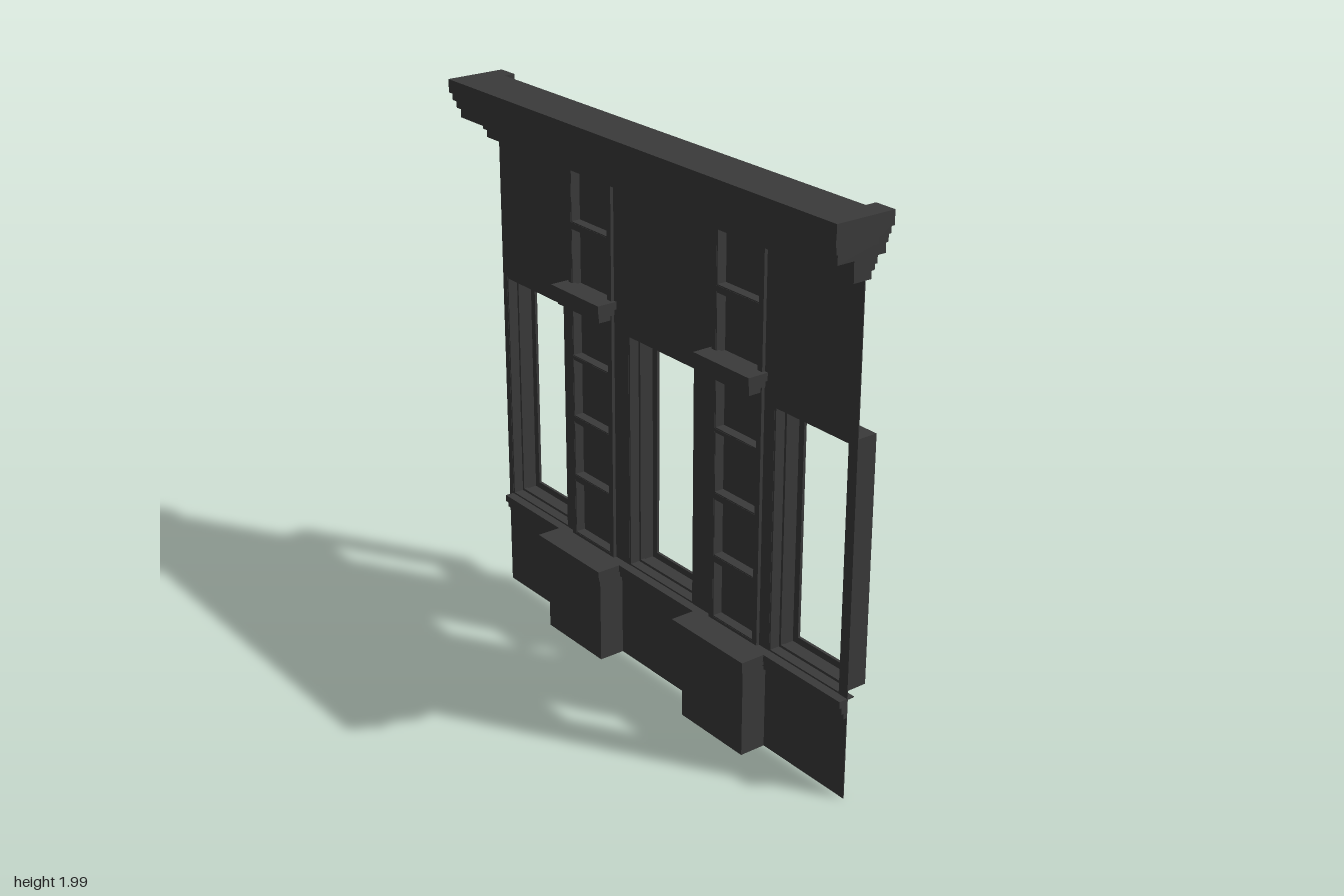
import * as THREE from 'three';

const mat = new THREE.MeshStandardMaterial({ color: 0x3a3a3a, flatShading: true, side: THREE.DoubleSide });
const WALL = 0.035; // x of the wall's rear face; the decorated side looks to -x

function add(parent, name, geometry) {
  const mesh = new THREE.Mesh(geometry, mat);
  mesh.name = name;
  parent.add(mesh);
  return mesh;
}

// Box given by its limits on each axis
function block(parent, name, [x0, x1], [y0, y1], [z0, z1]) {
  const g = new THREE.BoxGeometry(x1 - x0, y1 - y0, z1 - z0);
  g.translate((x0 + x1) / 2, (y0 + y1) / 2, (z0 + z1) / 2);
  return add(parent, name, g);
}

// Upright slab in the z/y plane, pierced by rectangles [z0, z1, y0, y1]
function slab(parent, name, [x0, x1], [z0, z1, y0, y1], holes = []) {
  const trace = (path, a, b, c, d) => path.moveTo(a, c).lineTo(b, c).lineTo(b, d).lineTo(a, d).closePath();
  const shape = trace(new THREE.Shape(), z0, z1, y0, y1);
  for (const h of holes) shape.holes.push(trace(new THREE.Path(), ...h));
  const g = new THREE.ExtrudeGeometry(shape, { depth: x1 - x0, bevelEnabled: false });
  g.rotateY(-Math.PI / 2);
  g.translate(x1, 0, 0);
  return add(parent, name, g);
}

// Run of an x/y profile along z
function run(parent, name, points, z0, z1) {
  const shape = new THREE.Shape(points.map(([x, y]) => new THREE.Vector2(x, y)));
  const g = new THREE.ExtrudeGeometry(shape, { depth: z1 - z0, bevelEnabled: false });
  g.translate(0, 0, z0);
  return add(parent, name, g);
}

const inset = ([z0, z1, y0, y1], d) => [z0 + d, z1 - d, y0 + d, y1 - d];

export function createModel() {
  const model = new THREE.Group();
  model.name = 'facadeSection';

  const windows = [[0.55, 0.895], [-0.21, 0.15], [-0.945, -0.585]].map(([a, b]) => [a, b, 0.37, 1.24]);
  const sills = [[0.53, 0.93], [-0.24, 0.19], [-0.95, -0.55]];
  const pilasters = [0.375, -0.415];
  const panelRows = [[0.38, 0.59], [0.61, 0.82], [0.84, 1.06], [1.07, 1.28], [1.33, 1.54], [1.56, 1.75]];
  const panelsOf = (z) => panelRows.map(([a, b]) => [z - 0.105, z + 0.105, a, b]);

  // Thin wall pierced for windows, sills and pilaster panels
  slab(model, 'wall', [WALL - 0.003, WALL], [-0.97, 0.93, 0, 1.98], [
    ...windows,
    ...sills.map(([a, b]) => [a + 0.004, b - 0.004, 0.303, 0.362]),
    ...pilasters.flatMap(panelsOf),
  ]);

  // Deep window boxes with a rim at the rear
  windows.forEach((w) => {
    const group = new THREE.Group();
    group.name = 'window';
    slab(group, 'windowReveal', [WALL - 0.002, 0.135], w, [inset(w, 0.006)]);
    slab(group, 'windowRim', [0.13, 0.14], w, [inset(w, 0.03)]);
    slab(group, 'windowStep', [0.07, 0.085], w, [inset(w, 0.015)]);
    model.add(group);
  });

  // Hollow stepped sills, open at the rear
  const sillFace = [[0.034, 0.3], [0.02, 0.3], [0.02, 0.32], [0.01, 0.32], [0.01, 0.345], [0, 0.345], [0, 0.37], [0.034, 0.37]];
  const sillInner = sillFace.map(([x, y], i) => [i % 7 ? x + 0.004 : x, i === 7 ? y - 0.004 : y + (i === 6 ? -0.004 : 0.003)]);
  sills.forEach(([a, b]) => {
    run(model, 'windowSill', [...sillFace, ...sillInner.reverse()], a, b);
    run(model, 'sillEnd', sillFace, a, a + 0.004);
    run(model, 'sillEnd', sillFace, b - 0.004, b);
    block(model, 'sillLedge', [0.03, 0.06], [0.366, 0.37], [a, b]);
  });

  pilasters.forEach((z) => {
    const group = new THREE.Group();
    group.name = 'pilaster';
    // Shaft with recessed trays for panels
    slab(group, 'shaft', [0.02, WALL - 0.003], [z - 0.125, z + 0.125, 0.37, 1.77], panelsOf(z));
    panelsOf(z).forEach((p) => {
      slab(group, 'panelSides', [0.021, 0.06], p, [inset(p, 0.004)]);
      slab(group, 'panel', [0.056, 0.06], p);
    });
    // Pedestal and its stepped cap
    const h = 0.16;
    block(group, 'pedestal', [-0.065, WALL - 0.003], [0, 0.3], [z - h, z + h]);
    [[-0.07, 0.3, 0.325, 0.005], [-0.08, 0.325, 0.348, 0.015], [-0.09, 0.348, 0.37, 0.025]].forEach(([x, a, b, e]) =>
      block(group, 'pedestalCap', [x, WALL - 0.003], [a, b], [z - h - e, z + h + e]));
    // Capital
    [[-0.028, 1.27, 1.29, 0.12], [-0.035, 1.29, 1.312, 0.128], [-0.045, 1.312, 1.34, 0.138]].forEach(([x, a, b, e]) =>
      block(group, 'capital', [x, WALL - 0.003], [a, b], [z - e, z + e]));
    model.add(group);
  });

  // Stepped cornice layers: front x, y range, end z, rear x of the side returns
  const layers = [
    [-0.148, 1.938, 1.985, 1.0, 0.072], [-0.14, 1.912, 1.938, 0.99, 0.07], [-0.13, 1.885, 1.912, 0.982, 0.068],
    [-0.118, 1.85, 1.885, 0.975, 0.066], [-0.048, 1.822, 1.85, 0.968, 0.042], [-0.04, 1.8, 1.822, 0.96, 0.04],
    [-0.03, 1.77, 1.8, 0.95, 0.038],
  ];
  layers.forEach(([x, a, b, e, back]) => {
    block(model, 'cornice', [x, WALL - 0.003], [a, b], [-e, e]);
    block(model, 'corniceReturn', [WALL - 0.003, back], [a, b], [0.92, e]);
    block(model, 'corniceReturn', [WALL - 0.003, back], [a, b], [-e, -0.92]);
  });
  return model;
}
